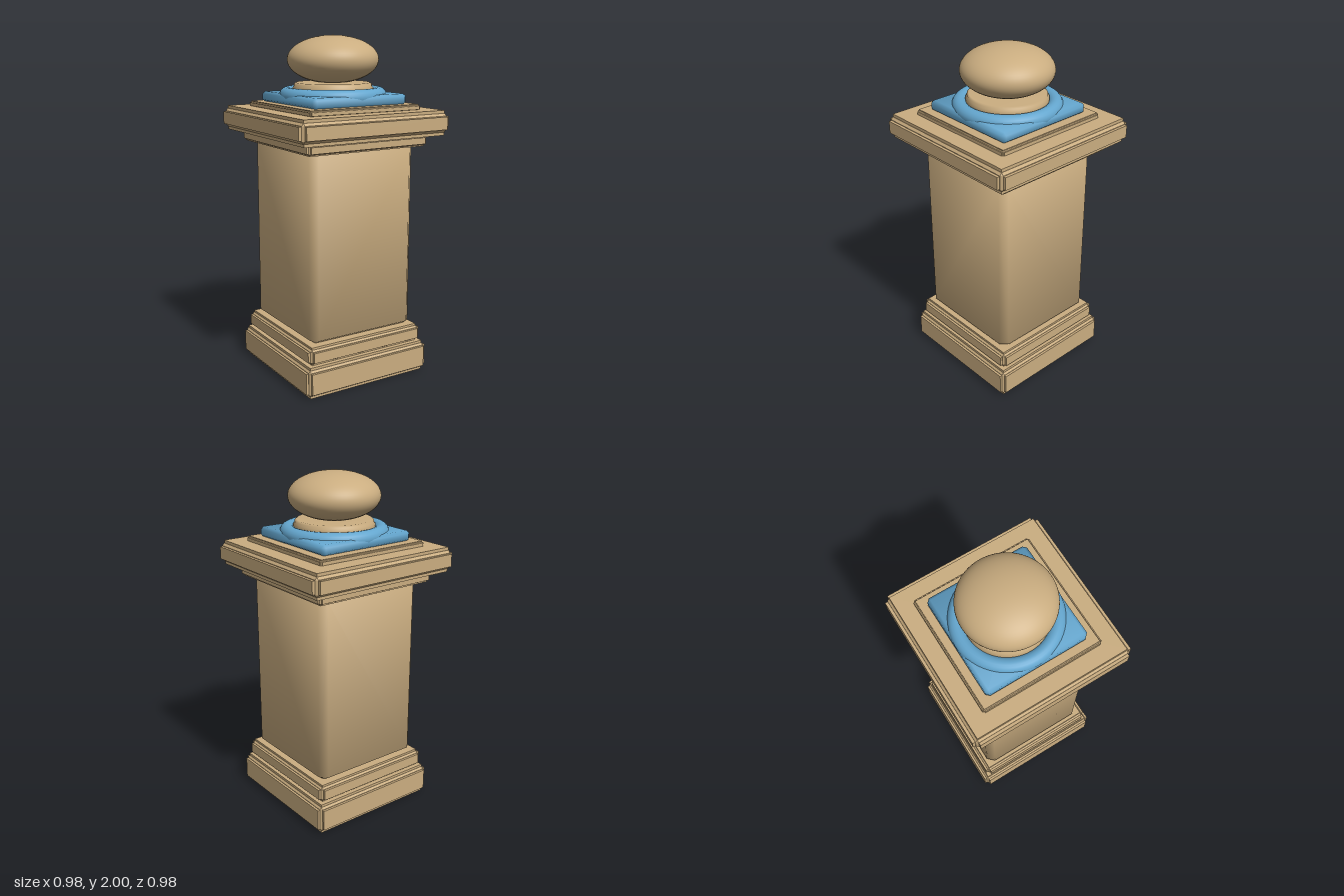
import * as THREE from 'three';
import { ConvexGeometry } from 'three/addons/geometries/ConvexGeometry.js';

const stone = new THREE.MeshStandardMaterial({ color: 0xcaad80 });
stone.name = 'sandstone';
const blue = new THREE.MeshStandardMaterial({ color: 0x64a6ce });
blue.name = 'blue glaze';

// Box centred on the origin with its edges cut by c (sideways) and cy (upright);
// soft gives it rounded-looking normals
function chamferedBox(half, halfY, c, cy, soft) {
  const size = [half, halfY, half];
  const cut = [c, cy, c];
  const points = [];
  for (let axis = 0; axis < 3; axis++)
    for (const sx of [-1, 1]) for (const sy of [-1, 1]) for (const sz of [-1, 1]) {
      const p = [sx, sy, sz].map((s, i) => s * (i === axis ? size[i] : size[i] - cut[i]));
      points.push(new THREE.Vector3(...p));
    }
  const geometry = new ConvexGeometry(points);
  if (soft) {
    const pos = geometry.attributes.position;
    const n = new THREE.Vector3();
    for (let i = 0; i < pos.count; i++) {
      const p = [pos.getX(i), pos.getY(i), pos.getZ(i)];
      n.set(...p.map((v, k) => Math.sign(v) * (Math.abs(v) > size[k] - 1e-4 ? 2.98 : 1.28))).normalize();
      geometry.attributes.normal.setXYZ(i, n.x, n.y, n.z);
    }
  }
  return geometry;
}

function addMesh(parent, name, geometry, material, y) {
  const mesh = new THREE.Mesh(geometry, material);
  mesh.name = name;
  mesh.position.y = y;
  parent.add(mesh);
  return mesh;
}

// Moulded slab: chamfered core with a raised panel on every face
function slab(name, y0, y1, half, inset, insetY) {
  const group = new THREE.Group();
  group.name = name;
  const h = y1 - y0;
  const inner = half - inset;
  const mid = (y0 + y1) / 2;
  const cut = inset * 0.4;
  addMesh(group, 'core', chamferedBox(half - inset * 0.55, h / 2 - insetY * 0.5, cut, insetY * 0.4, false), stone, mid);
  addMesh(group, 'sidePanels', new THREE.BoxGeometry(half * 2, h - insetY * 2, inner * 2), stone, mid);
  addMesh(group, 'frontAndBackPanels', new THREE.BoxGeometry(inner * 2, h - insetY * 2, half * 2), stone, mid);
  addMesh(group, 'topAndBottomPanels', new THREE.BoxGeometry(inner * 2, h, inner * 2), stone, mid);
  return group;
}

export function createModel() {
  const model = new THREE.Group();
  model.name = 'pedestalPost';

  // Stepped base and capital
  model.add(
    slab('basePlinth', 0, 0.185, 0.415, 0.025, 0.03),
    slab('baseStep', 0.18, 0.29, 0.387, 0.025, 0.025),
    slab('neckMoulding', 1.375, 1.44, 0.397, 0.018, 0.014),
    slab('capSlab', 1.44, 1.583, 0.49, 0.03, 0.035),
    slab('capStep', 1.575, 1.614, 0.365, 0.011, 0.01),
  );

  // Softly shaded square shaft
  addMesh(model, 'shaft', chamferedBox(0.345, 0.555, 0.04, 0.025, true), stone, 0.843);

  // Blue cushion: square plate with a round roll on it
  addMesh(model, 'cushionPlate', chamferedBox(0.31, 0.031, 0.019, 0.014, true), blue, 1.641);
  const roll = addMesh(model, 'cushionRoll', new THREE.TorusGeometry(0.267, 0.045, 20, 64), blue, 1.66);
  roll.rotation.x = -Math.PI / 2;

  // Flared collar under the finial
  const collar = [[0, 1.64], [0.235, 1.64], [0.235, 1.7], [0.226, 1.71], [0.226, 1.722], [0.215, 1.731], [0, 1.733]]
    .map(([x, y]) => new THREE.Vector2(x, y));
  addMesh(model, 'collar', new THREE.LatheGeometry(collar, 64), stone, 0);

  // Flattened ball finial
  const ball = addMesh(model, 'finialBall', new THREE.SphereGeometry(0.265, 64, 32), stone, 1.862);
  ball.scale.y = 0.138 / 0.265;

  return model;
}
